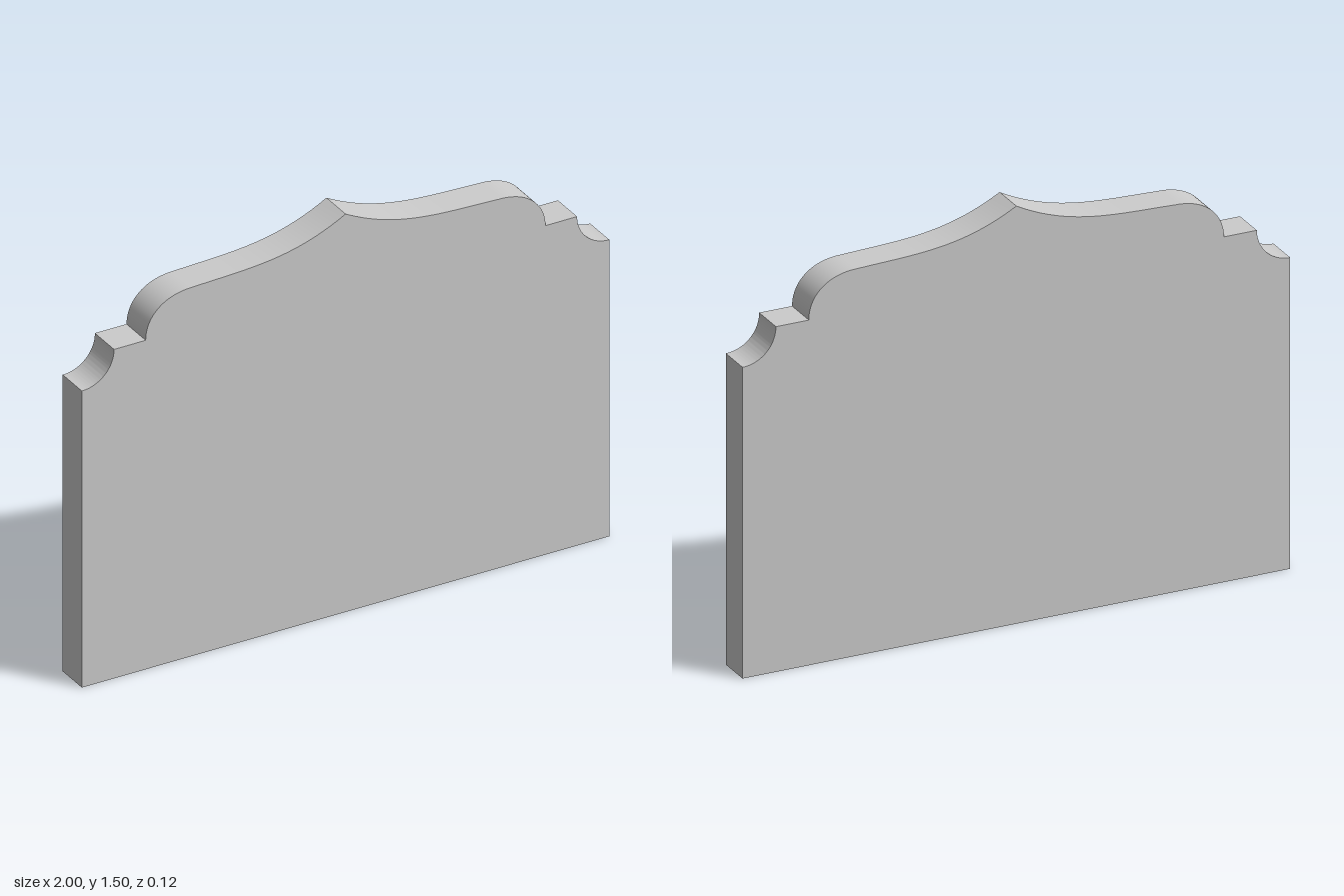
import * as THREE from 'three';
import { toCreasedNormals } from 'three/addons/utils/BufferGeometryUtils.js';

const DEPTH = 0.125;

// Right half of the outline, from the bottom corner up to the central peak
function halfOutline() {
  const path = new THREE.Path();
  path.moveTo(1, 0);
  path.lineTo(1, 1.118);
  path.absarc(1, 1.24, 0.122, -Math.PI / 2, -Math.PI, true); // scooped shoulder
  path.lineTo(0.758, 1.24); // flat step
  path.bezierCurveTo(0.758, 1.325, 0.69, 1.39, 0.58, 1.39); // rounded shoulder
  path.bezierCurveTo(0.36, 1.4, 0.2, 1.39, 0, 1.5); // sweep to the peak
  return path.getPoints(20);
}

export function createModel() {
  const group = new THREE.Group();
  group.name = 'headboard';

  // Mirror the half outline to make the full board
  const right = halfOutline();
  const left = right.slice(0, -1).reverse().map((p) => new THREE.Vector2(-p.x, p.y));
  const shape = new THREE.Shape([...right, ...left]);

  const geometry = new THREE.ExtrudeGeometry(shape, { depth: DEPTH, bevelEnabled: false });
  geometry.translate(0, 0, -DEPTH / 2);

  const panel = new THREE.Mesh(
    toCreasedNormals(geometry, 0.35),
    new THREE.MeshStandardMaterial({ color: 0xcccccc })
  );
  panel.name = 'panel';
  group.add(panel);
  return group;
}
